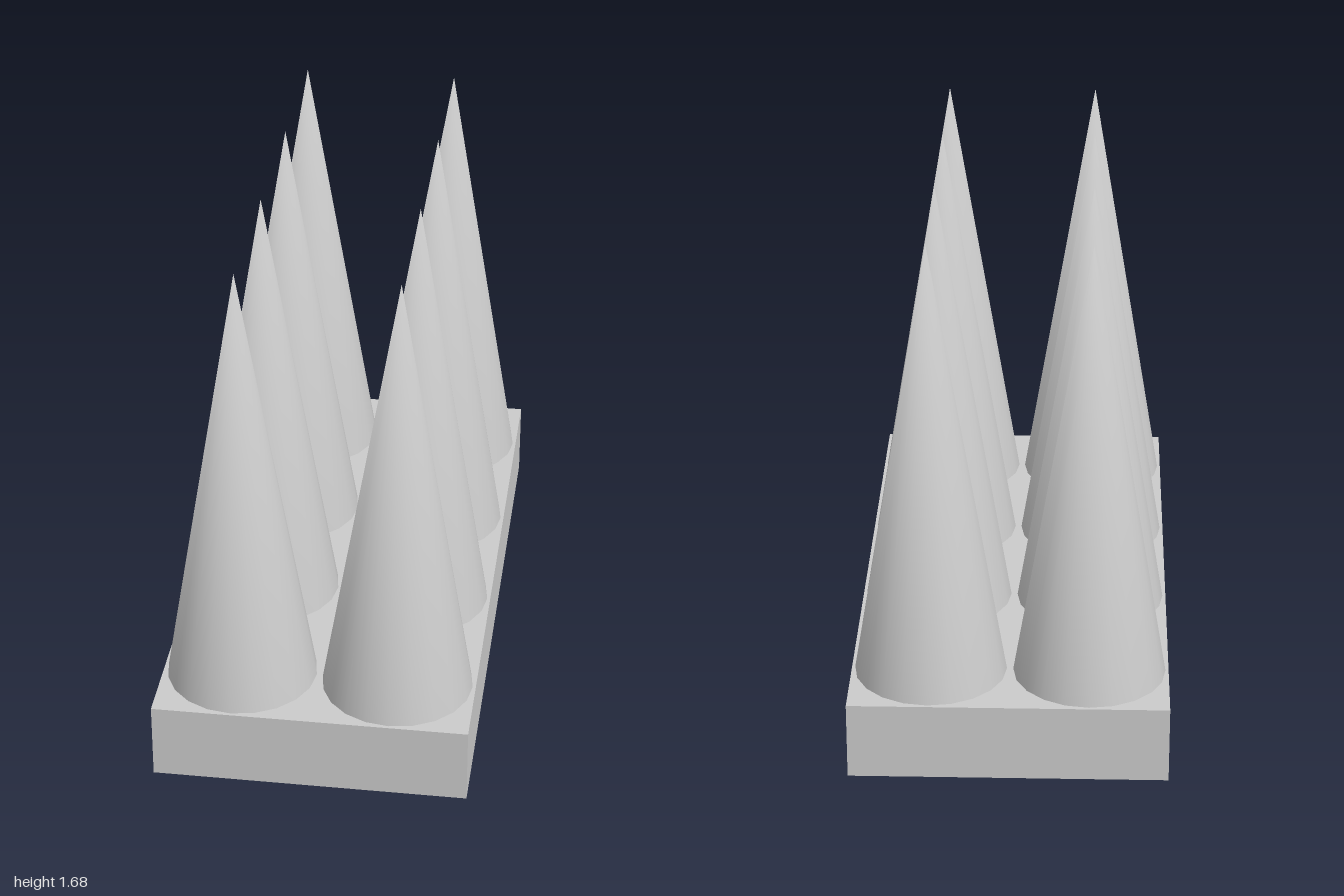
import * as THREE from 'three';

const BASE_HEIGHT = 0.25;
const SPIKE_HEIGHT = 1.43;
const SPIKE_RADIUS = 0.24;
const SPACING = 0.5;

// Cone standing on y = 0, with the shading rounded over at the tip
function spikeGeometry() {
  const geometry = new THREE.ConeGeometry(SPIKE_RADIUS, SPIKE_HEIGHT, 20);
  geometry.translate(0, SPIKE_HEIGHT / 2, 0);
  const { position, normal } = geometry.attributes;
  for (let i = 0; i < position.count; i++) {
    if (position.getY(i) > SPIKE_HEIGHT - 0.001) normal.setXYZ(i, 0, 1, 0);
  }
  return geometry;
}

export function createModel() {
  const model = new THREE.Group();
  model.name = 'spikeBlock';
  const material = new THREE.MeshStandardMaterial({ color: 0xcccccc });

  // Base slab
  const base = new THREE.Mesh(new THREE.BoxGeometry(1, BASE_HEIGHT, 2), material);
  base.name = 'base';
  base.position.y = BASE_HEIGHT / 2;
  model.add(base);

  // Two columns of four spikes
  const geometry = spikeGeometry();
  for (let row = 0; row < 4; row++) {
    for (let column = 0; column < 2; column++) {
      const spike = new THREE.Mesh(geometry, material);
      spike.name = `spikeRow${row + 1}${column ? 'Left' : 'Right'}`;
      spike.position.set((column - 0.5) * SPACING, BASE_HEIGHT, (row - 1.5) * SPACING);
      model.add(spike);
    }
  }
  return model;
}
